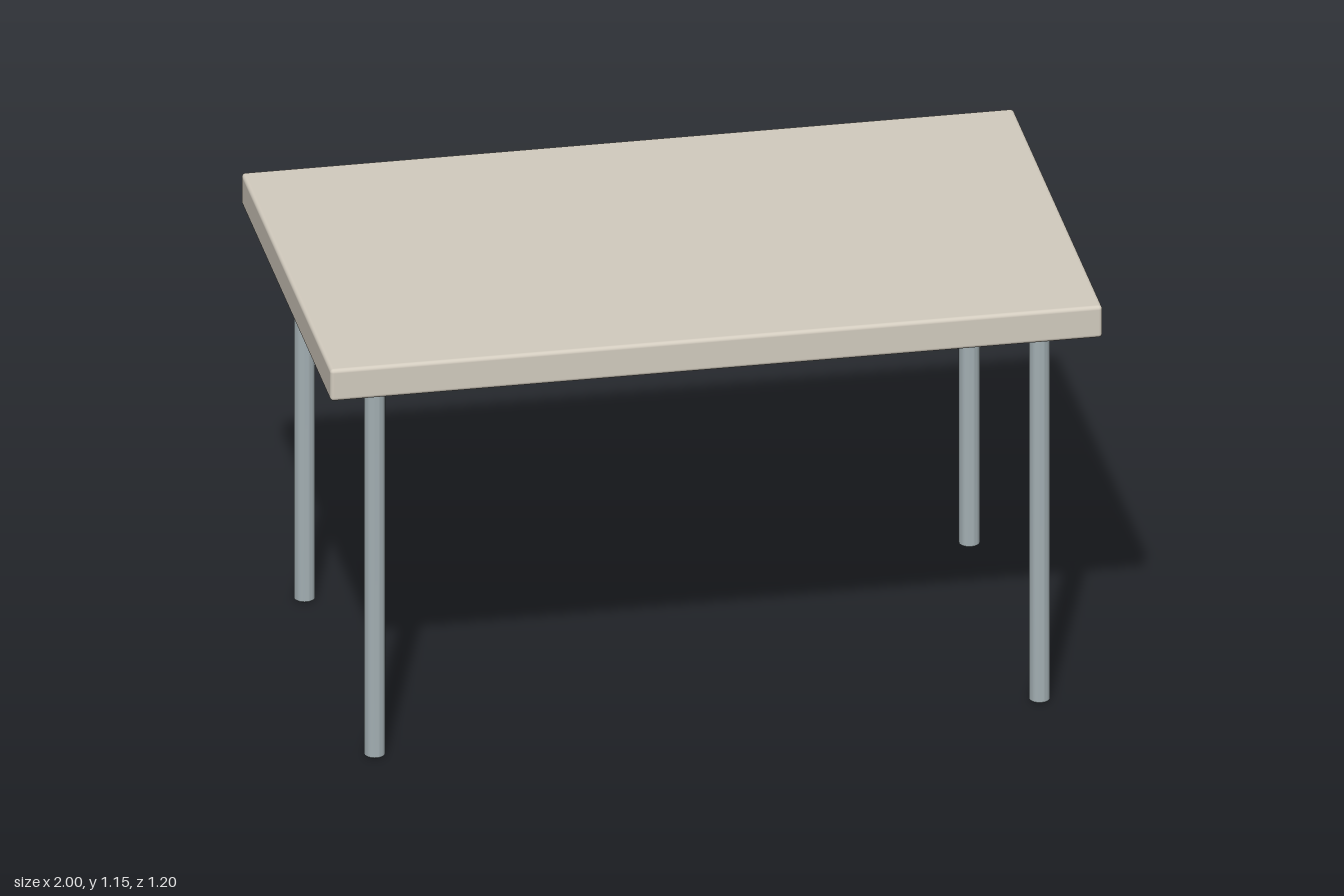
import * as THREE from 'three';
import { RoundedBoxGeometry } from 'three/addons/geometries/RoundedBoxGeometry.js';
import { toCreasedNormals } from 'three/addons/utils/BufferGeometryUtils.js';

const TOP_Y = 1.154, TOP_THICKNESS = 0.089, LEG_RADIUS = 0.027;

export function createModel() {
  const table = new THREE.Group();
  table.name = 'table';
  const topMaterial = new THREE.MeshStandardMaterial({ color: 0xd3ccbf });
  const legMaterial = new THREE.MeshStandardMaterial({ color: 0xa3afb3 });

  // Slab with softly rounded edges
  const top = new THREE.Mesh(new RoundedBoxGeometry(2, TOP_THICKNESS, 1.196, 4, 0.01), topMaterial);
  top.name = 'tableTop';
  top.position.y = TOP_Y - TOP_THICKNESS / 2;
  table.add(top);

  // Round leg with a small chamfer at the foot, its head set just into the slab
  const legHeight = TOP_Y - TOP_THICKNESS + 0.005;
  const profile = [
    [0, 0], [LEG_RADIUS - 0.004, 0], [LEG_RADIUS, 0.004], [LEG_RADIUS, legHeight], [0, legHeight],
  ].map(([r, y]) => new THREE.Vector2(r, y));
  const legGeometry = toCreasedNormals(new THREE.LatheGeometry(profile, 32), 0.5);

  for (const [xName, x] of [['Left', 0.861], ['Right', -0.861]]) {
    for (const [zName, z] of [['front', 0.47], ['back', -0.47]]) {
      const leg = new THREE.Mesh(legGeometry, legMaterial);
      leg.name = `${zName}${xName}Leg`;
      leg.position.set(x, 0, z);
      table.add(leg);
    }
  }
  return table;
}
